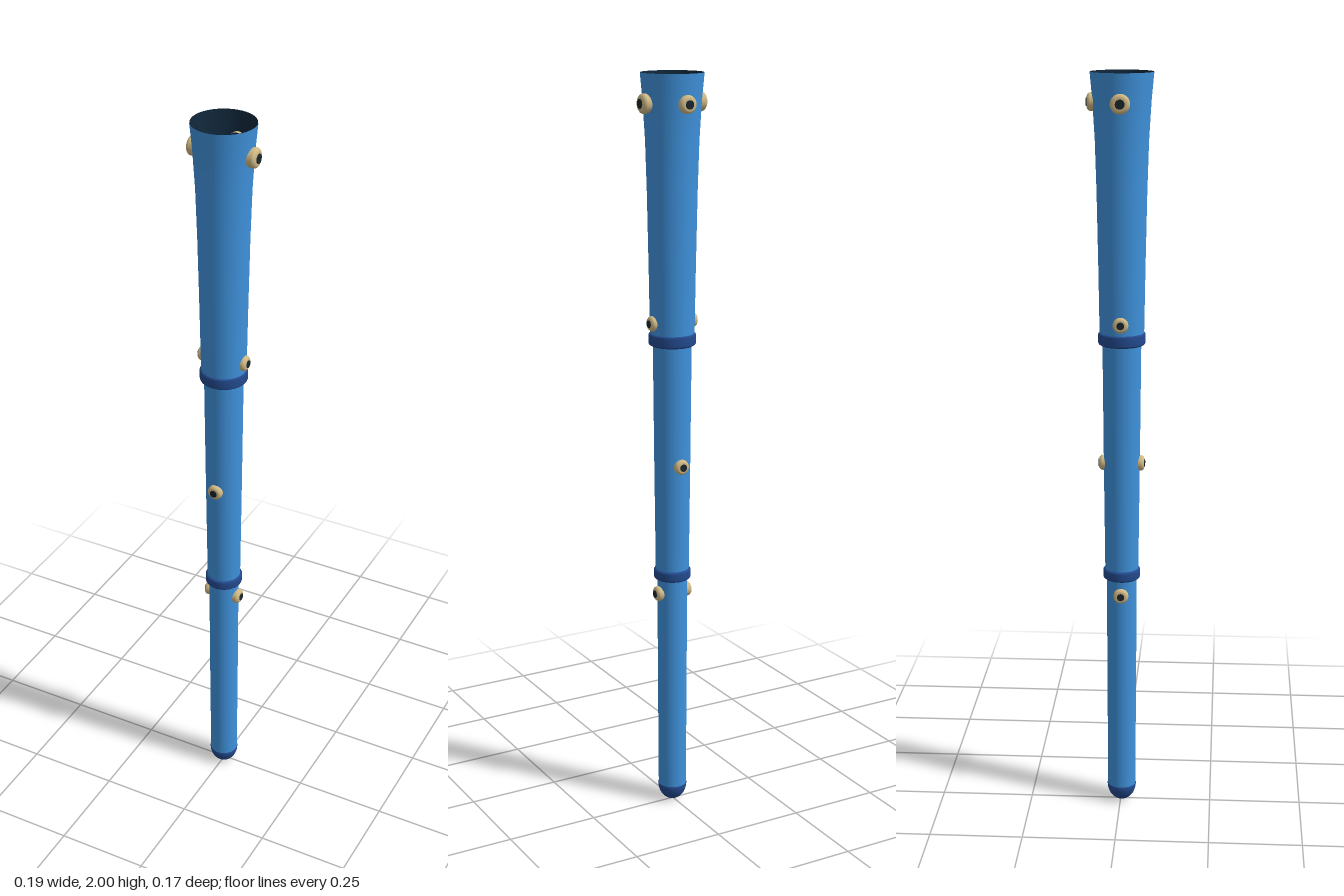
import * as THREE from 'three';

const mat = (name, color, side = THREE.FrontSide) => {
  const m = new THREE.MeshStandardMaterial({ color, side });
  m.name = name;
  return m;
};

export function createModel() {
  const blue = mat('body blue', 0x3f92dc);
  const navy = mat('band navy', 0x234a8e);
  const inside = mat('dark bore', 0x11283c, THREE.DoubleSide);
  const cream = mat('eyelet cream', 0xd0b985);
  const dark = mat('eyelet hole', 0x1a262c);

  const model = new THREE.Group();
  model.name = 'telescopicTube';
  const tube = new THREE.Group();
  tube.name = 'tube';
  tube.position.z = 0.003;
  model.add(tube);

  const lathe = (name, pts, material, parent = tube, segments = 48) => {
    const geo = new THREE.LatheGeometry(pts.map(([r, y]) => new THREE.Vector2(r, y)), segments);
    const mesh = new THREE.Mesh(geo, material);
    mesh.name = name;
    parent.add(mesh);
    return mesh;
  };

  // Three nested sections, the top one flaring to an open mouth
  lathe('lowerSection', [[0.038, 0.045], [0.0395, 0.35], [0.0405, 0.67]], blue);
  lathe('middleSection', [[0.0445, 0.66], [0.048, 0.98], [0.051, 1.315]], blue);
  const flare = [[0.058, 1.315], [0.061, 1.5], [0.065, 1.7], [0.069, 1.83], [0.075, 1.93], [0.0815, 2]];
  lathe('upperSection', flare, blue);

  // Dark lining and floor of the open mouth
  const lining = flare.map(([r, y]) => [r - 0.001, y]);
  lathe('bore', [[0.0001, 1.34], [0.0575, 1.34], ...lining.slice(1)].reverse(), inside);

  // Rounded bands over the joints
  const band = (name, y, r, h) => {
    const b = 0.006;
    lathe(name, [[r - 0.014, y - h], [r - b, y - h], [r - 0.0015, y - h + b / 2], [r, y - h + b],
      [r, y + h - b], [r - 0.0015, y + h - b / 2], [r - b, y + h], [r - 0.014, y + h]], navy);
  };
  band('upperBand', 1.318, 0.062, 0.017);
  band('lowerBand', 0.671, 0.05, 0.015);

  // Rounded foot
  const foot = [];
  for (let i = 0; i <= 10; i++) {
    const a = (i / 10) * Math.PI / 2;
    foot.push([0.0395 * Math.sin(a) + 0.0001, 0.048 * (1 - Math.cos(a))]);
  }
  lathe('foot', [...foot, [0.037, 0.049]], navy);

  // Eyelet: domed cream collar with a small dark centre, pointing outward
  const eyelet = (name, angle, y, reach, r, depth) => {
    const g = new THREE.Group();
    g.name = name;
    lathe('collar', [[r * 0.96, -depth], [r, -0.011], [r * 0.95, -0.007], [r * 0.8, -0.0035],
      [r * 0.62, -0.002], [0.0001, -0.002]], cream, g, 24);
    const hole = new THREE.Mesh(new THREE.CylinderGeometry(r * 0.48, r * 0.48, 0.005, 20), dark);
    hole.name = 'hole';
    hole.position.y = -0.0025;
    g.add(hole);
    g.rotation.set(Math.PI / 2, 0, 0);
    const pivot = new THREE.Group();
    pivot.name = name + 'Mount';
    pivot.rotation.y = angle;
    g.position.set(0, y, reach);
    pivot.add(g);
    tube.add(pivot);
  };
  const L = Math.PI / 2, R = -Math.PI / 2, B = Math.PI;
  eyelet('topLeftEyelet', L, 1.925, 0.0945, 0.0255, 0.026);
  eyelet('topRightEyelet', R, 1.925, 0.0945, 0.0255, 0.026);
  eyelet('topBackEyelet', B, 1.925, 0.091, 0.0235, 0.024);
  for (const [side, a] of [['Left', L], ['Right', R]]) {
    eyelet('upper' + side + 'Eyelet', a, 1.363, 0.071, 0.0205, 0.02);
    eyelet('lower' + side + 'Eyelet', a, 0.617, 0.055, 0.0205, 0.022);
  }
  for (const [side, a] of [['Front', 0], ['Back', B]]) {
    eyelet('middle' + side + 'Eyelet', a, 0.98, 0.062, 0.0205, 0.022);
  }
  return model;
}
